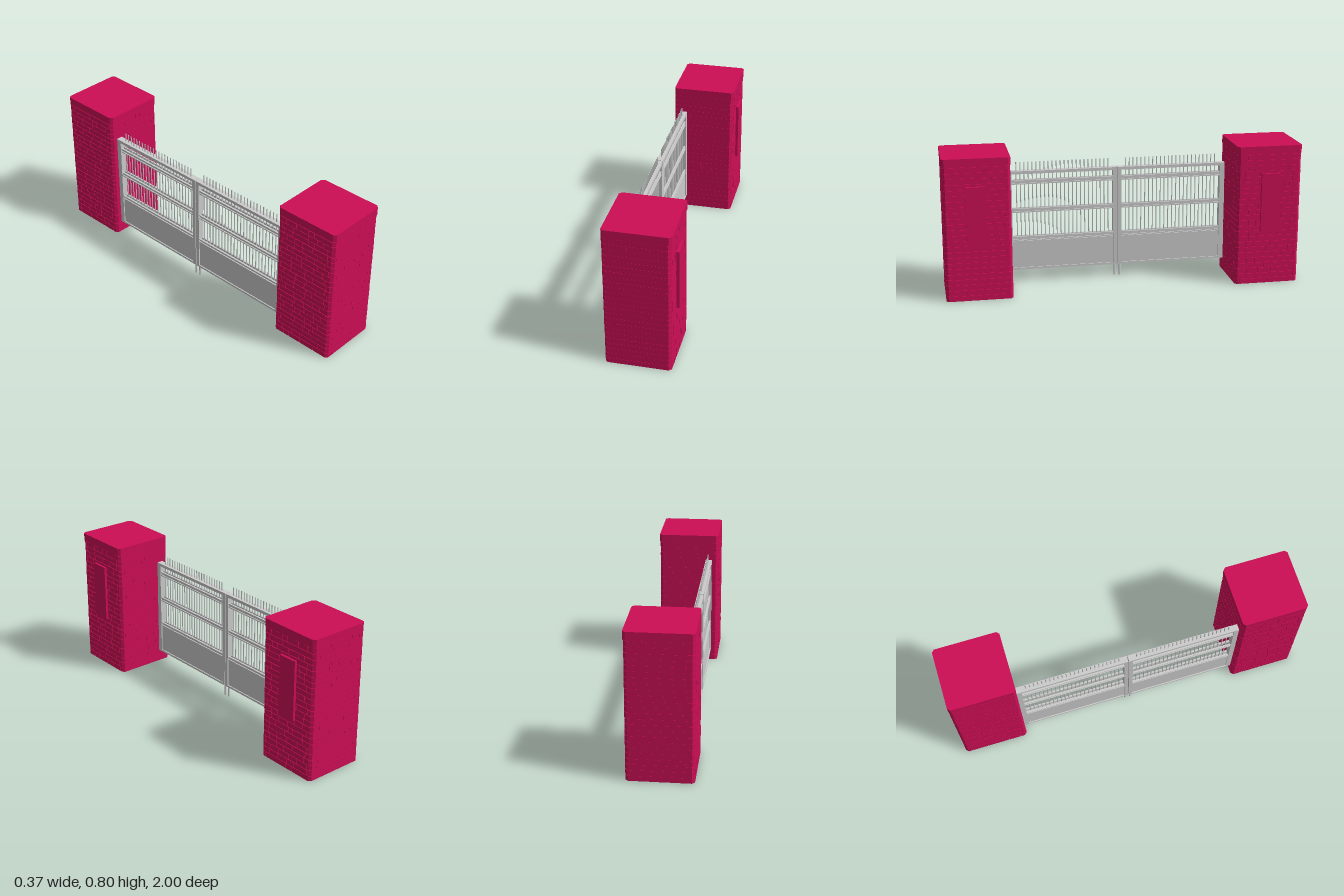
import * as THREE from 'three';

const red = new THREE.MeshStandardMaterial({ color: 0xcc0e55 });
const grey = new THREE.MeshStandardMaterial({ color: 0xcccccc });

let seed = 7;
const rnd = () => (seed = (seed * 16807) % 2147483647) / 2147483647;

function add(parent, name, geometry, material, x = 0, y = 0, z = 0) {
  const mesh = new THREE.Mesh(geometry, material);
  mesh.name = name;
  mesh.position.set(x, y, z);
  parent.add(mesh);
  return mesh;
}

// box given by its extents on each axis
function block(parent, name, material, [x0, x1], [y0, y1], [z0, z1]) {
  return add(parent, name, new THREE.BoxGeometry(x1 - x0, y1 - y0, z1 - z0), material,
    (x0 + x1) / 2, (y0 + y1) / 2, (z0 + z1) / 2);
}

// chamfered rectangle, extruded upward, with optional narrow joints cut into its sides
function courseGeometry(w, d, height, jointed) {
  const c = 0.014, gap = 0.004, depth = 0.007;
  const points = [];
  const sides = [
    { from: [-w / 2, -d / 2], dir: [1, 0], len: w, count: 5, chance: 0.5 },
    { from: [w / 2, -d / 2], dir: [0, 1], len: d, count: 5, chance: 0.85 },
    { from: [w / 2, d / 2], dir: [-1, 0], len: w, count: 5, chance: 0.5 },
    { from: [-w / 2, d / 2], dir: [0, -1], len: d, count: 5, chance: 0.85 },
  ];
  for (const { from, dir, len, count, chance } of sides) {
    const put = (t, inset) => points.push(new THREE.Vector2(
      from[0] + dir[0] * t - dir[1] * inset, from[1] + dir[1] * t + dir[0] * inset));
    put(c, 0);
    const pitch = (len - 2 * c) / count;
    for (let i = 0; jointed && i < count; i++) {
      const t = c + pitch * (i + 0.15 + 0.7 * rnd());
      if (rnd() > chance) continue;
      put(t, 0);
      put(t, depth);
      put(t + gap, depth);
      put(t + gap, 0);
    }
    put(len - c, 0);
  }
  const geometry = new THREE.ExtrudeGeometry(new THREE.Shape(points), { depth: height, bevelEnabled: false });
  return geometry.rotateX(-Math.PI / 2);
}

function makePillar(side) {
  const pillar = new THREE.Group();
  pillar.name = 'pillar';
  const cx = -0.007, cz = side * 0.815, courses = 24, top = 0.755;
  const pitch = top / courses;

  // core behind the bed joints, set back on the two broad brick faces
  add(pillar, 'core', courseGeometry(0.342, 0.365, top, false), red, cx, 0, cz);
  for (let i = 0; i < courses; i++) {
    const course = courseGeometry(0.35 + 0.002 * rnd(), 0.366 + 0.002 * rnd(), pitch - 0.003, true);
    add(pillar, 'brickCourse', course, red, cx, i * pitch, cz);
  }
  add(pillar, 'cap', courseGeometry(0.355, 0.37, 0.045, false), red, -0.005, top, cz);

  // plaque on the outer face
  block(pillar, 'plaque', red, [0.15, 0.183], [0.31, 0.645], [cz + side * 0.008 - 0.055, cz + side * 0.008 + 0.055]);
  return pillar;
}

function makeLeaf(side) {
  const leaf = new THREE.Group();
  leaf.name = 'gateLeaf';
  const cx = -0.126;
  const part = (name, halfX, y, z, dx = 0) =>
    block(leaf, name, grey, [cx + dx - halfX, cx + dx + halfX], y, side > 0 ? z : [-z[1], -z[0]]);

  // frame
  part('innerStile', 0.018, [0.07, 0.65], [0.002, 0.024]);
  part('outerStile', 0.018, [0.07, 0.65], [0.603, 0.632]);
  part('topRail', 0.018, [0.633, 0.65], [0.024, 0.603]);
  part('bottomRail', 0.018, [0.07, 0.082], [0.024, 0.603]);
  part('lowerPanel', 0.012, [0.082, 0.24], [0.024, 0.603]);

  // paired cross rails, each a web with two lips, on both faces of the bars
  for (const y of [0.585, 0.42, 0.255]) {
    for (const dx of [-0.011, 0.011]) {
      part('railWeb', 0.002, [y - 0.012, y + 0.012], [0.024, 0.603], dx * 0.7);
      part('railLip', 0.005, [y + 0.006, y + 0.012], [0.024, 0.603], dx);
      part('railLip', 0.005, [y - 0.012, y - 0.006], [0.024, 0.603], dx);
    }
  }

  // upright bars, running on as spikes over the top rail
  const count = 24;
  for (let i = 0; i < count; i++) {
    const z = side * (0.05 + (0.525 * i) / (count - 1));
    add(leaf, 'bar', new THREE.CylinderGeometry(0.003, 0.003, 0.46, 8), grey, cx, 0.47, z);
  }

  // drop bolt
  add(leaf, 'dropBolt', new THREE.CylinderGeometry(0.006, 0.006, 0.12, 10), grey, cx, 0.06, side * 0.015);
  return leaf;
}

export function createModel() {
  const model = new THREE.Group();
  model.name = 'gateway';
  for (const side of [1, -1]) model.add(makePillar(side), makeLeaf(side));
  return model;
}
